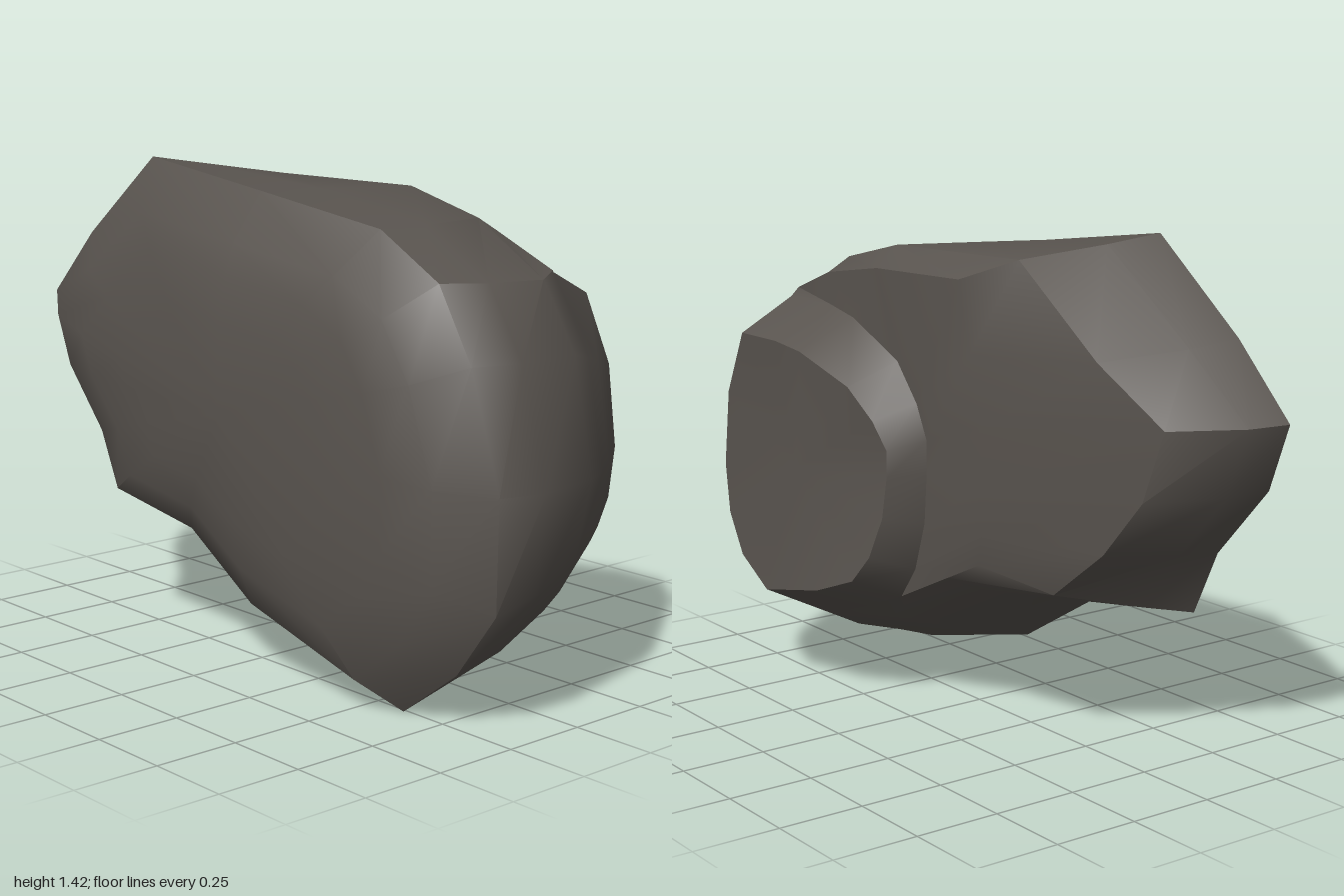
import * as THREE from 'three';
import { toCreasedNormals } from 'three/addons/utils/BufferGeometryUtils.js';

const N = 16; // corners in every cross-section, clockwise from the left tip
const mix = (a, b, t) => a.map((v, i) => v + (b[i] - v) * t);

// Sharp rim around the front, all at z = 0.26
const rim = [
  [-1, .97], [-.8, 1.17], [-.48, 1.42], [.02, 1.355], [.51, 1.29], [.73, 1.17], [.85, .97], [.955, .65],
  [.95, .34], [.81, .15], [.61, 0], [.1, .13], [-.22, .32], [-.65, .38], [-.74, .57], [-.93, .78],
].map(([x, y]) => [x, y, .26]);

// Ridge where the sides turn into the back
const ridge = [
  [-.84, .96, -.03], [-.65, 1.12, -.1], [-.34, 1.36, -.12], [.18, 1.355, -.16],
  [.48, 1.29, -.13], [.8, 1.16, -.05], [.89, .97, -.08], [.965, .65, -.07],
  [.91, .43, -.08], [.78, .25, -.1], [.56, .11, -.06], [.16, .22, -.1],
  [-.14, .39, -.1], [-.5, .46, -.12], [-.66, .6, -.08], [-.78, .76, -.05],
];

// Back shelf beside the lump: its upper and lower parts
const shelfUpper = [
  [-.28, .9, -.21], [-.25, 1.1, -.22], [-.2, 1.3, -.22], [.2, 1.29, -.22], [.47, 1.25, -.21], [.74, 1.17, -.15],
];
const shelfLower = [[-.03, .42, -.18], [-.25, .5, -.19], [-.28, .6, -.2], [-.29, .74, -.21]];

// Flat end of the raised lump at the back
const lumpEnd = [
  [.01, .8, -.32], [.05, .88, -.34], [.13, .97, -.37], [.32, 1.05, -.41],
  [.42, 1.07, -.43], [.61, 1.07, -.43], [.7, .88, -.43], [.73, .65, -.43],
  [.71, .5, -.43], [.64, .38, -.43], [.5, .3, -.43], [.25, .35, -.41],
  [.12, .4, -.37], [.06, .48, -.35], [.02, .6, -.33], [.01, .72, -.32],
];

function stoneGeometry() {
  // Front face rounds over in three steps
  const chamfer = rim.map(([x, y]) => [.02 + (x - .02) * .85, .74 + (y - .74) * (y < .74 ? .88 : .78), .36]);
  const inset = (k, z) => chamfer.map(([x, y]) => [.03 + (x - .03) * k, .75 + (y - .75) * k, z]);
  // Sides bulge slightly between rim and ridge
  const side = rim.map((p, i) => {
    const [x, y, z] = mix(p, ridge[i], .4);
    return [x * 1.035, y, z];
  });
  // On the right and underneath, the lump runs straight on from the sides
  const flank = (t) => ridge.slice(6, 12).map((p, i) => {
    const [x, y, z] = mix(p, lumpEnd[i + 6], t);
    return [x * 1.02, y, z];
  });
  const shelf = [...shelfUpper, ...flank(.25), ...shelfLower];
  // Elsewhere its foot flares out onto the shelf
  const flare = lumpEnd.map(([x, y]) => [.3 + (x - .3) * 1.19, .68 + (y - .68) * 1.22, -.22]);
  const foot = [...flare.slice(0, 6), ...flank(.52), ...flare.slice(12)];

  const rings = [inset(.54, .42), inset(.8, .395), chamfer, rim, side, ridge, shelf, foot, lumpEnd];
  const points = rings.flat();
  const index = [];
  for (let r = 0; r < rings.length - 1; r++) {
    for (let i = 0; i < N; i++) {
      const a = r * N + i, b = r * N + (i + 1) % N;
      index.push(a, b, a + N, b, b + N, a + N);
    }
  }
  // Close both ends with a fan
  const frontCentre = points.push([.03, .75, .43]) - 1;
  const backCentre = points.push([.37, .7, -.4]) - 1;
  const last = (rings.length - 1) * N;
  for (let i = 0; i < N; i++) {
    const j = (i + 1) % N;
    index.push(frontCentre, j, i, backCentre, last + i, last + j);
  }

  const geometry = new THREE.BufferGeometry();
  geometry.setAttribute('position', new THREE.Float32BufferAttribute(points.flat(), 3));
  geometry.setIndex(index);
  return toCreasedNormals(geometry, 0.7);
}

export function createModel() {
  const group = new THREE.Group();
  group.name = 'rock';
  const stone = new THREE.Mesh(stoneGeometry(), new THREE.MeshStandardMaterial({ color: 0x59544f }));
  stone.name = 'stone';
  group.add(stone);
  return group;
}
